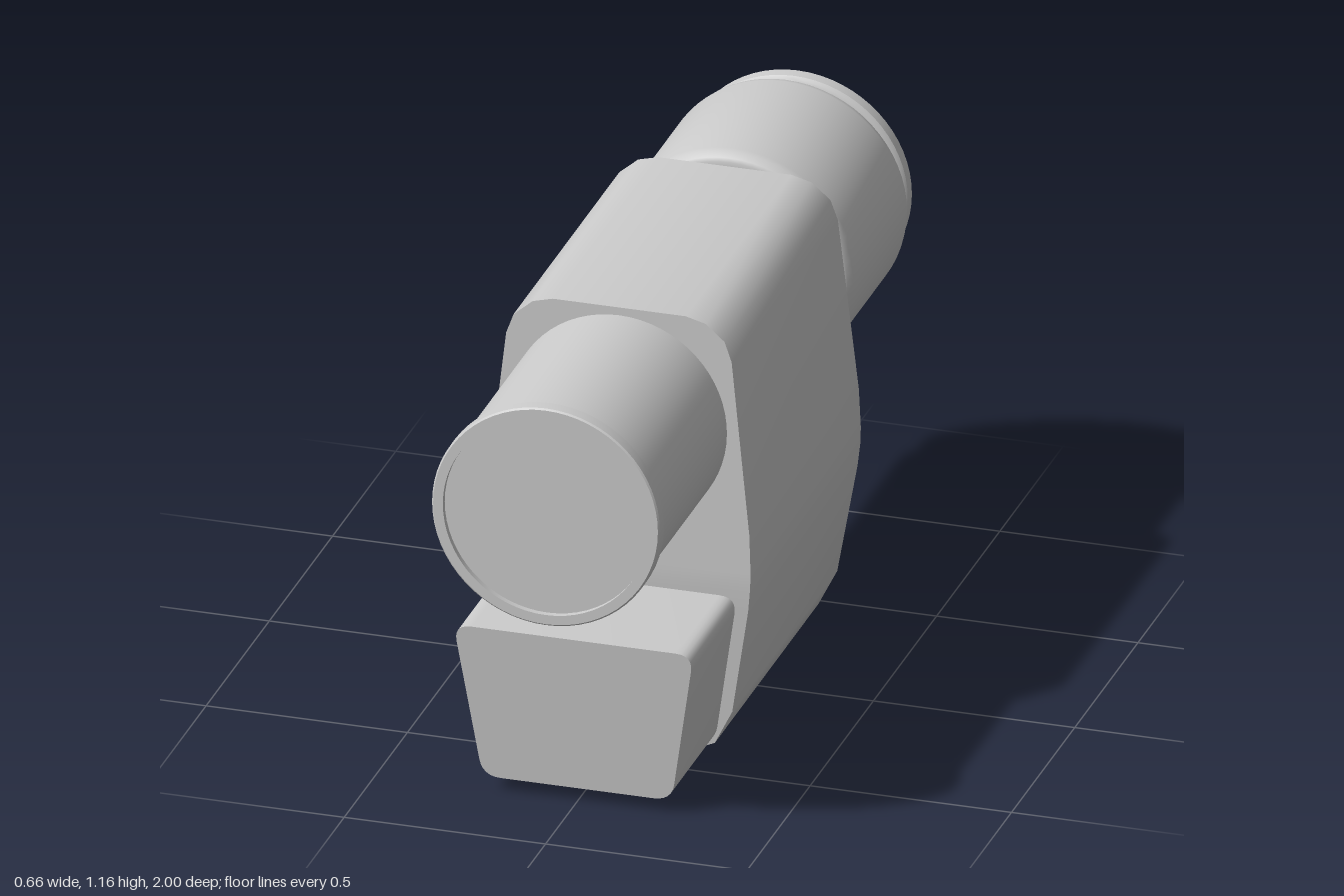
import * as THREE from 'three';
import { toCreasedNormals } from 'three/addons/utils/BufferGeometryUtils.js';

const AXIS_Y = 0.853;

export function createModel() {
  const group = new THREE.Group();
  const material = new THREE.MeshStandardMaterial({ color: 0xcccccc });

  const add = (name, geometry, crease = 0.6) => {
    const mesh = new THREE.Mesh(toCreasedNormals(geometry, crease), material);
    mesh.name = name;
    group.add(mesh);
    return mesh;
  };

  // Round parts: [radius, z] profile, from back to front, turned about the optical axis
  const turned = (name, profile) => {
    const points = profile.map(([r, z]) => new THREE.Vector2(r, z));
    const mesh = add(name, new THREE.LatheGeometry(points, 64).rotateX(Math.PI / 2));
    mesh.position.y = AXIS_Y;
  };

  // Housing: rows of [half width, height], with front and back bulging slightly at mid height
  const rows = [
    [0.14, 0], [0.19, 0.014], [0.235, 0.035], [0.28, 0.125], [0.325, 0.4], [0.331, 0.46], [0.332, 0.5],
    [0.328, 0.6], [0.28, 1.04], [0.262, 1.09], [0.215, 1.13], [0.165, 1.143],
  ];
  const halfDepth = (y) => (y < 0.46
    ? THREE.MathUtils.mapLinear(y, 0, 0.46, 0.407, 0.437)
    : THREE.MathUtils.mapLinear(y, 0.46, 1.143, 0.437, 0.417));
  const positions = [];
  const index = [];
  for (const [w, y] of rows) {
    const d = halfDepth(y);
    positions.push(-w, y, d, w, y, d, w, y, -d, -w, y, -d);
  }
  for (let i = 0; i < rows.length - 1; i++) {
    for (let k = 0; k < 4; k++) {
      const a = i * 4 + k, b = i * 4 + (k + 1) % 4;
      index.push(a, b, b + 4, a, b + 4, a + 4);
    }
  }
  const t = (rows.length - 1) * 4;
  index.push(0, 3, 2, 0, 2, 1, t, t + 1, t + 2, t, t + 2, t + 3);
  const housing = new THREE.BufferGeometry();
  housing.setAttribute('position', new THREE.Float32BufferAttribute(positions, 3));
  housing.setIndex(index);
  add('housing', housing, 0.85);

  // Front tube with a raised rim and a slightly sunken lens
  turned('frontTube', [
    [0.27, 0.3], [0.27, 0.955], [0.277, 0.958], [0.283, 0.964], [0.283, 0.996], [0.279, 1], [0.255, 1], [0.255, 0.985],
  ]);
  turned('frontLens', [[0.256, 0.985], [0, 0.985]]);

  // Rear tube, mirrored in z, with a wider sleeve around it
  turned('rearTube', [
    [0.255, -0.985], [0.255, -1], [0.279, -1], [0.283, -0.996], [0.283, -0.964], [0.277, -0.958], [0.27, -0.955], [0.27, -0.3],
  ]);
  turned('rearLens', [[0, -0.985], [0.256, -0.985]]);
  turned('rearSleeve', [
    [0.265, -0.92], [0.282, -0.92], [0.291, -0.915], [0.301, -0.9], [0.304, -0.885],
    [0.304, -0.49], [0.301, -0.475], [0.291, -0.46], [0.282, -0.455], [0.265, -0.455],
  ]);

  // Lower front box: rounded trapezoid whose front face leans back towards the bottom
  const corners = [[-0.235, 0.035], [0.235, 0.035], [0.298, 0.435], [-0.298, 0.435]]
    .map(([x, y]) => new THREE.Vector2(x, y));
  const shape = new THREE.Shape();
  corners.forEach((c, i) => {
    const toward = (o) => o.clone().sub(c).setLength(0.045).add(c);
    const start = toward(corners[(i + 3) % 4]);
    const end = toward(corners[(i + 1) % 4]);
    if (i === 0) shape.moveTo(start.x, start.y);
    else shape.lineTo(start.x, start.y);
    shape.quadraticCurveTo(c.x, c.y, end.x, end.y);
  });
  shape.closePath();
  const box = new THREE.ExtrudeGeometry(shape, { depth: 1, bevelEnabled: false, curveSegments: 6 });
  const p = box.attributes.position;
  for (let i = 0; i < p.count; i++) {
    const front = THREE.MathUtils.mapLinear(p.getY(i), 0.035, 0.435, 0.75, 0.78);
    p.setZ(i, p.getZ(i) > 0.5 ? front : 0.35);
  }
  add('lowerFrontBox', box);

  return group;
}
